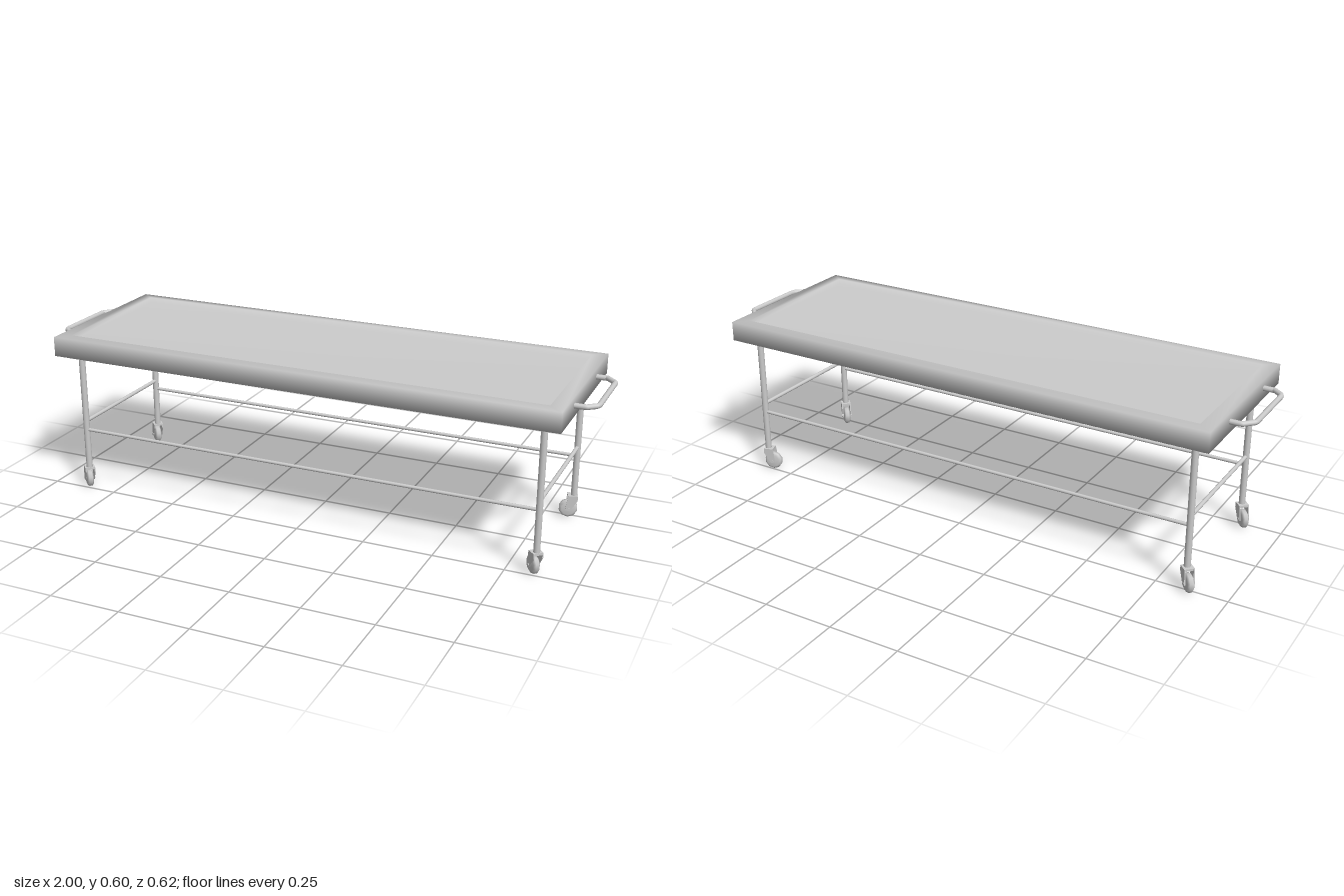
import * as THREE from 'three';

const material = new THREE.MeshStandardMaterial({ color: 0xcccccc });

function mesh(name, geometry, parent, x = 0, y = 0, z = 0) {
  const m = new THREE.Mesh(geometry, material);
  m.name = name;
  m.position.set(x, y, z);
  parent.add(m);
  return m;
}

// Round bar between two points
function bar(name, a, b, radius, parent) {
  const from = new THREE.Vector3(...a), to = new THREE.Vector3(...b);
  const dir = to.clone().sub(from);
  const m = mesh(name, new THREE.CylinderGeometry(radius, radius, dir.length(), 12), parent);
  m.position.copy(from).add(to).multiplyScalar(0.5);
  m.quaternion.setFromUnitVectors(new THREE.Vector3(0, 1, 0), dir.normalize());
  return m;
}

// Rectangular loops [halfX, halfZ, y] joined from the underside, over the rim, to the shallow floor
function trayGeometry() {
  const loops = [
    [0.92, 0.31, 0.527], [0.92, 0.31, 0.597],
    [0.872, 0.27, 0.599], [0.868, 0.266, 0.58],
  ];
  const corners = [[-1, 1], [1, 1], [1, -1], [-1, -1]];
  const pos = [], index = [];
  for (const [hx, hz, y] of loops)
    for (const [sx, sz] of corners) pos.push(sx * hx, y, sz * hz);
  for (let i = 0; i < loops.length - 1; i++)
    for (let j = 0; j < 4; j++) {
      const a = i * 4 + j, b = i * 4 + (j + 1) % 4;
      index.push(a, b, b + 4, a, b + 4, a + 4);
    }
  const t = (loops.length - 1) * 4;
  index.push(0, 2, 1, 0, 3, 2, t, t + 1, t + 3, t + 1, t + 2, t + 3);
  const g = new THREE.BufferGeometry();
  g.setAttribute('position', new THREE.Float32BufferAttribute(pos, 3));
  g.setIndex(index);
  g.computeVertexNormals();
  return g;
}

// Bent handle at one end of the tray
function handleGeometry(side) {
  const pts = [
    [0.91, -0.143], [0.958, -0.143], [0.991, -0.108],
    [0.991, 0.118], [0.987, 0.132], [0.958, 0.156], [0.91, 0.156],
  ].map(([x, z]) => new THREE.Vector3(side * x, 0.567, z));
  const path = new THREE.CurvePath();
  for (let i = 0; i < pts.length - 1; i++) path.add(new THREE.LineCurve3(pts[i], pts[i + 1]));
  return new THREE.TubeGeometry(path, 60, 0.009, 10);
}

// Swivel caster, trailing towards its own -x
function caster(angle) {
  const g = new THREE.Group();
  g.name = 'caster';
  g.rotation.y = angle;
  mesh('swivelPlate', new THREE.BoxGeometry(0.034, 0.008, 0.036), g, -0.004, 0.08, 0);

  const cheek = new THREE.Shape();
  cheek.moveTo(-0.021, 0.084);
  cheek.lineTo(-0.029, 0.03);
  cheek.lineTo(-0.012, 0.026);
  cheek.lineTo(0.013, 0.066);
  cheek.lineTo(0.013, 0.084);
  const side = new THREE.ExtrudeGeometry(cheek, { depth: 0.004, bevelEnabled: false });
  for (const z of [0.014, -0.018]) mesh('forkCheek', side, g, 0, 0, z);

  const tyre = [[0, -0.012], [0.024, -0.012], [0.033, -0.006], [0.033, 0.006], [0.024, 0.012], [0, 0.012]]
    .map(([r, y]) => new THREE.Vector2(r, y));
  const wheel = mesh('wheel', new THREE.LatheGeometry(tyre, 10), g, -0.018, 0.033, 0);
  wheel.rotation.x = Math.PI / 2;
  const axle = mesh('axle', new THREE.CylinderGeometry(0.005, 0.005, 0.04, 8), g, -0.018, 0.033, 0);
  axle.rotation.x = Math.PI / 2;
  return g;
}

export function createModel() {
  const model = new THREE.Group();
  model.name = 'trolley';
  mesh('tray', trayGeometry(), model);

  const legX = 0.853, legZ = 0.244;
  for (const sx of [-1, 1]) {
    const x = sx * legX;
    mesh('handle', handleGeometry(sx), model);
    bar('endRail', [x, 0.266, -legZ], [x, 0.266, legZ], 0.007, model);

    // Legs with mounting plates and casters
    for (const sz of [-1, 1]) {
      const z = sz * legZ;
      mesh('mountingPlate', new THREE.BoxGeometry(0.075, 0.02, 0.05), model, x, 0.52, z);
      bar('leg', [x, 0.078, z], [x, 0.515, z], 0.0115, model);
      // One caster is swivelled the other way
      const c = caster(sx > 0 && sz < 0 ? 0.3 : -0.8);
      c.position.set(x, 0, z);
      model.add(c);
    }
  }

  // Long rails along both sides
  for (const sz of [-1, 1])
    bar('sideRail', [-legX, 0.233, sz * legZ], [legX, 0.233, sz * legZ], 0.006, model);

  return model;
}
